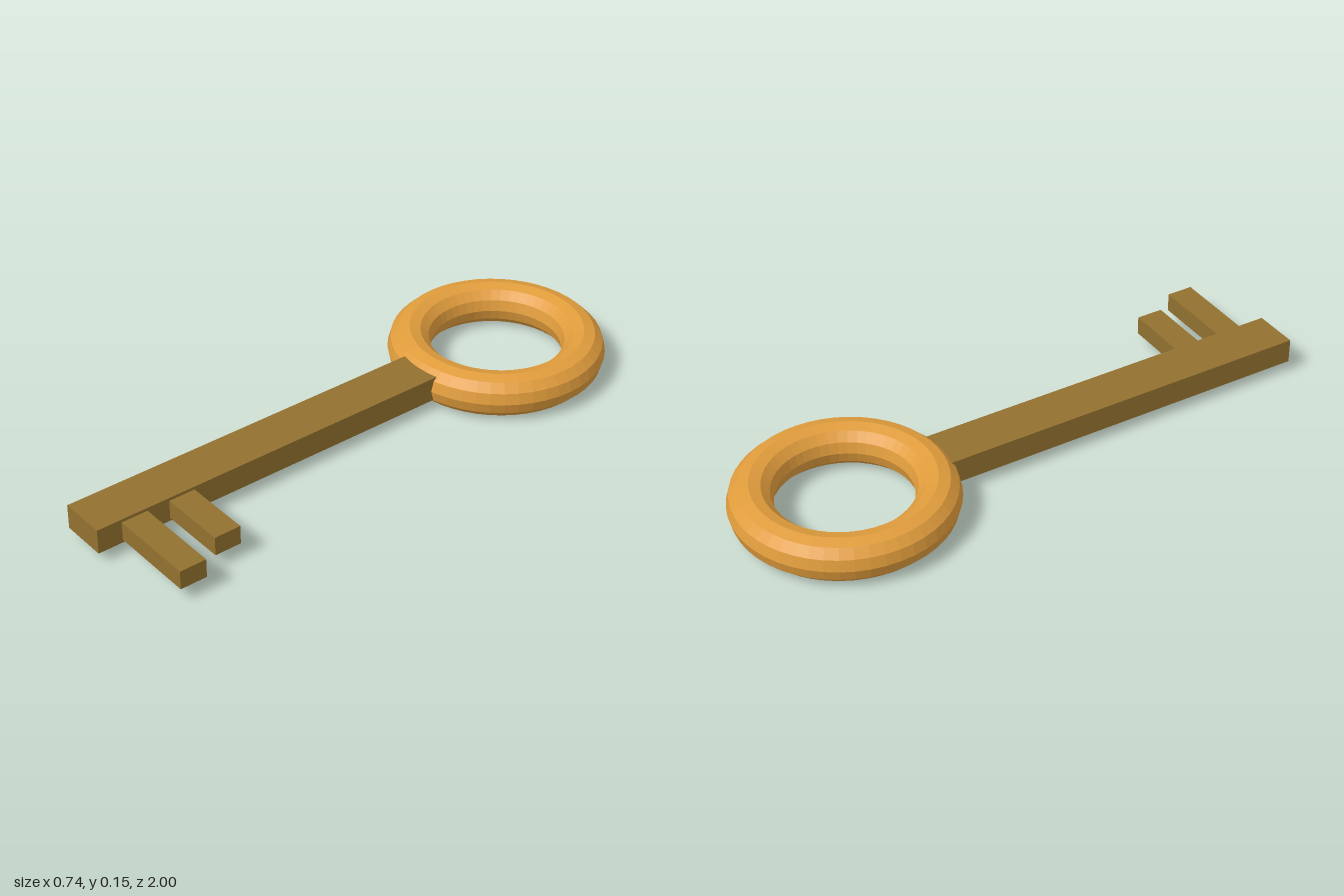
import * as THREE from 'three';

const gold = new THREE.MeshStandardMaterial({ color: 0xe09c3c, flatShading: true });
const brass = new THREE.MeshStandardMaterial({ color: 0x927130, flatShading: true });

// Box given by its minimum and maximum corners
function block(name, [x0, y0, z0], [x1, y1, z1]) {
  const mesh = new THREE.Mesh(new THREE.BoxGeometry(x1 - x0, y1 - y0, z1 - z0), brass);
  mesh.position.set((x0 + x1) / 2, (y0 + y1) / 2, (z0 + z1) / 2);
  mesh.name = name;
  return mesh;
}

export function createModel() {
  const key = new THREE.Group();
  key.name = 'key';

  // Ring handle, lying flat at the back
  const ring = new THREE.Mesh(new THREE.TorusGeometry(0.29, 0.073, 12, 48), gold);
  ring.name = 'ringHandle';
  ring.rotation.x = -Math.PI / 2;
  ring.position.set(-0.008, 0.073, -0.637);
  key.add(ring);

  // Shaft, its rear end buried in the ring
  key.add(block('shaft', [-0.088, 0.037, -0.35], [0.072, 0.121, 1]));

  // Two teeth on the left side, the front one longer
  key.add(block('rearTooth', [0.06, 0.047, 0.652], [0.304, 0.111, 0.744]));
  key.add(block('frontTooth', [0.06, 0.047, 0.822], [0.37, 0.111, 0.914]));

  return key;
}
